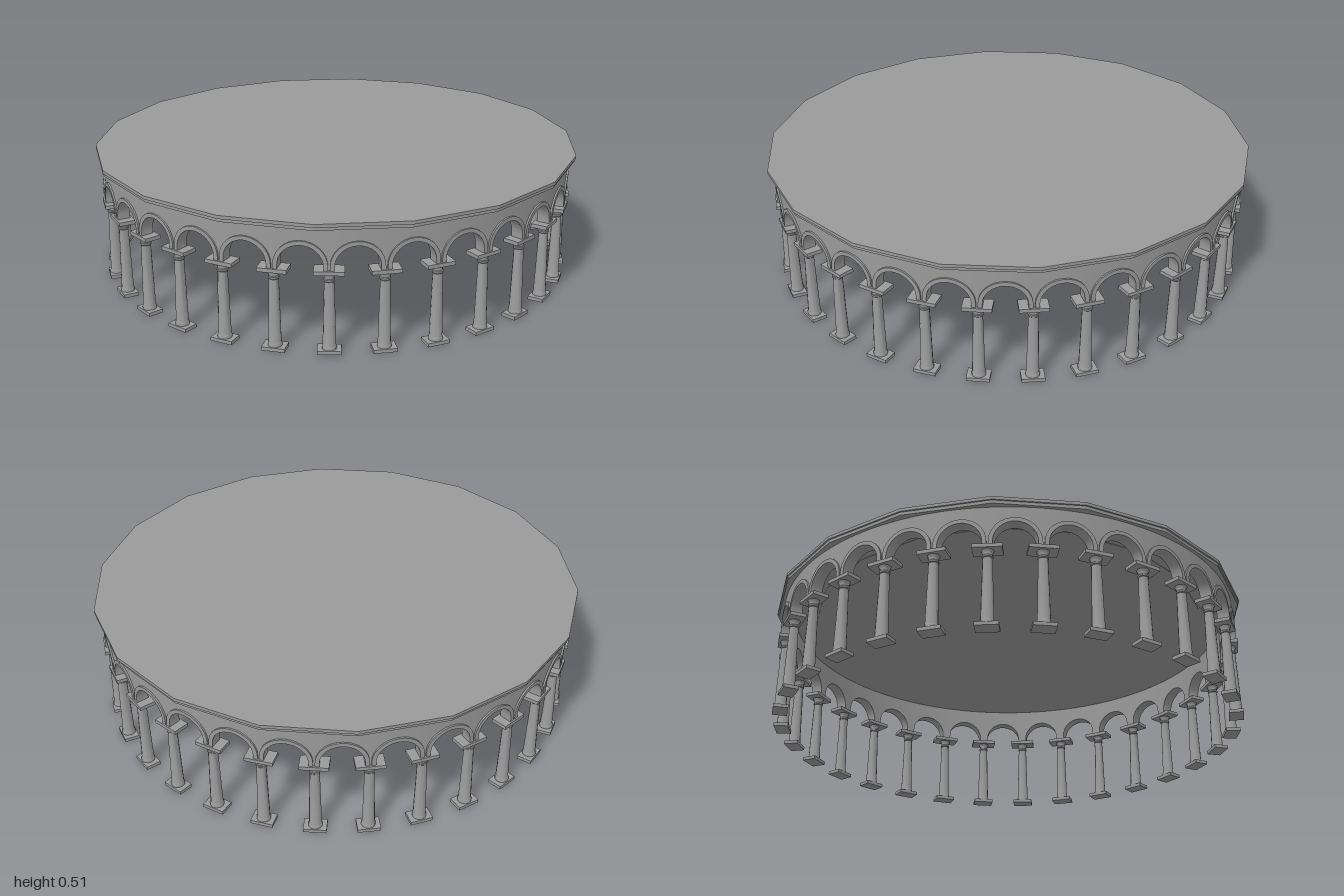
import * as THREE from 'three';
import { toCreasedNormals } from 'three/addons/utils/BufferGeometryUtils.js';

const BAYS = 30, STEP = (Math.PI * 2) / BAYS, R = 0.947;
const CAP_TOP = 0.325, SPRING = 0.34, ARCH = 0.08, WALL_TOP = 0.488;

const stone = new THREE.MeshStandardMaterial({ color: 0x9a9a9a });

function part(name, geometry) {
  const mesh = new THREE.Mesh(geometry, stone);
  mesh.name = name;
  return mesh;
}

// Stilted arch outline, from the left springing to the right one
function archLine(radius) {
  const pts = [[-radius, CAP_TOP]];
  for (let i = 0; i <= 16; i++) {
    const a = Math.PI * (1 - i / 16);
    pts.push([radius * Math.cos(a), SPRING + radius * Math.sin(a)]);
  }
  pts.push([radius, CAP_TOP]);
  return pts;
}

// Solid band between two outlines, bent round the ring from radius rIn to rOut
function bentBand(lower, upper, rIn, rOut) {
  const pos = [], index = [];
  const put = ([s, y], r) => pos.push(r * Math.sin(s / R), y, r * Math.cos(s / R));
  lower.forEach((low, i) => {
    put(upper[i], rOut); put(low, rOut); put(low, rIn); put(upper[i], rIn);
    if (i === 0) return;
    for (let k = 0; k < 4; k++) {
      const p1 = i * 4 + k, q1 = i * 4 + (k + 1) % 4, p0 = p1 - 4, q0 = q1 - 4;
      index.push(q0, q1, p1, q0, p1, p0);
    }
  });
  const g = new THREE.BufferGeometry();
  g.setAttribute('position', new THREE.Float32BufferAttribute(pos, 3));
  g.setIndex(index);
  return toCreasedNormals(g, 0.6);
}

function box(w, h, d, y) {
  return new THREE.BoxGeometry(w, h, d).translate(0, y, 0);
}

export function createModel() {
  const model = new THREE.Group();
  model.name = 'roundColonnade';

  // Eighteen-sided roof slab with a stepped edge, and a shallow ceiling panel
  const disc = (name, radius, y0, y1) => {
    const g = new THREE.CylinderGeometry(radius, radius, y1 - y0, 18, 1, false, THREE.MathUtils.degToRad(15));
    model.add(part(name, toCreasedNormals(g.translate(0, (y0 + y1) / 2, 0), 0.2)));
  };
  disc('roof', 1, 0.497, 0.51);
  disc('roofEdge', 0.994, 0.484, 0.497);
  disc('ceilingPanel', 0.83, 0.482, 0.484);

  // Wall bay with its arched opening, and the raised arch trim
  const half = (STEP * R) / 2;
  const opening = archLine(ARCH);
  const wallLow = [[-half, CAP_TOP], ...opening, [half, CAP_TOP]];
  const wallGeo = bentBand(wallLow, wallLow.map(([s]) => [s, WALL_TOP]), 0.924, 0.967);
  const trimGeo = bentBand(opening, archLine(ARCH + 0.016), 0.93, 0.974);

  // Column pieces
  const baseGeo = box(0.088, 0.014, 0.06, 0.007);
  const capGeo = box(0.11, 0.015, 0.065, CAP_TOP - 0.0075);
  const profile = [
    [0.027, 0.014], [0.027, 0.023], [0.0245, 0.029], [0.0185, 0.278], [0.021, 0.281],
    [0.021, 0.287], [0.0185, 0.29], [0.019, 0.3], [0.024, 0.31],
  ].map(([x, y]) => new THREE.Vector2(x, y));
  const shaftGeo = toCreasedNormals(new THREE.LatheGeometry(profile, 12), 0.6);

  for (let i = 0; i < BAYS; i++) {
    const bay = new THREE.Group();
    bay.name = 'archBay';
    bay.rotation.y = i * STEP;
    bay.add(part('archWall', wallGeo), part('archTrim', trimGeo));

    const a = (i + 0.5) * STEP;
    const column = new THREE.Group();
    column.name = 'column';
    column.position.set(R * Math.sin(a), 0, R * Math.cos(a));
    column.rotation.y = a;
    column.add(part('columnBase', baseGeo), part('columnShaft', shaftGeo), part('columnCapital', capGeo));
    model.add(bay, column);
  }
  return model;
}
